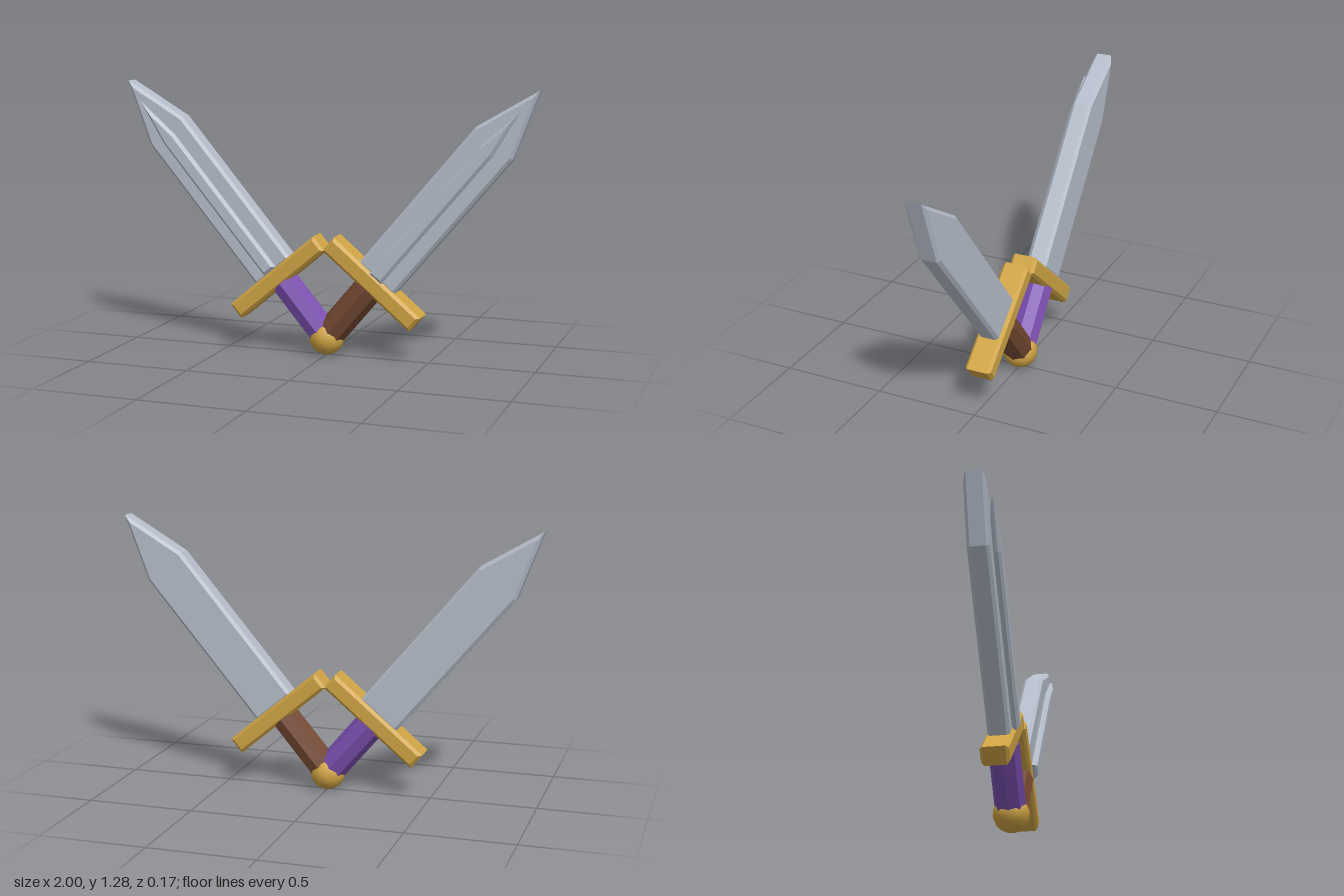
import * as THREE from 'three';
import { ConvexGeometry } from 'three/addons/geometries/ConvexGeometry.js';

const TILT = THREE.MathUtils.degToRad(40);
const PIVOT_Y = 0.085;

// Convex slab with chamfered rims: outline(inset) returns [x, y] pairs
function chamferedSlab(outline, z0, z1, chamfer) {
  const points = [];
  const ring = (inset, z) => outline(inset).forEach(([x, y]) => points.push(new THREE.Vector3(x, y, z)));
  ring(chamfer, z0);
  ring(0, z0 + chamfer);
  ring(0, z1 - chamfer);
  ring(chamfer, z1);
  return new ConvexGeometry(points);
}

// Pointed blade outline, inset evenly on every side
function bladeOutline(halfWidth, base, shoulder, tip) {
  const angle = Math.atan2(halfWidth, tip - shoulder);
  return (d) => {
    const w = halfWidth - d;
    const top = tip - d / Math.sin(angle);
    const side = top - w / Math.tan(angle);
    return [[-w, base + d], [w, base + d], [w, side], [0, top], [-w, side]];
  };
}

// Rectangular outline centred on x = 0
function barOutline(halfLength, y0, y1) {
  return (d) => [
    [-halfLength + d, y0 + d], [halfLength - d, y0 + d],
    [halfLength - d, y1 - d], [-halfLength + d, y1 - d],
  ];
}

// Faceted grip: octagonal prism with flat normals
function gripGeometry() {
  const geometry = new THREE.CylinderGeometry(0.072, 0.072, 0.33, 8).toNonIndexed();
  geometry.translate(0, 0.165, 0);
  geometry.computeVertexNormals();
  return geometry;
}

export function createModel() {
  const material = (name, color) => {
    const m = new THREE.MeshStandardMaterial({ color });
    m.name = name;
    return m;
  };
  const steel = material('steel', 0xb6becb);
  const gold = material('gold', 0xd0a444);
  const purple = material('purple grip', 0x7b4fb0);
  const brown = material('brown grip', 0x734832);

  const geometries = {
    blade: chamferedSlab(bladeOutline(0.11, 0.395, 1.243, 1.554), -0.05, 0.05, 0.014),
    ridge: chamferedSlab(bladeOutline(0.036, 0.405, 1.2, 1.424), 0.049, 0.085, 0.013),
    guard: chamferedSlab(barOutline(0.275, 0.32, 0.406), -0.064, 0.064, 0.014),
    grip: gripGeometry(),
    pommel: new THREE.SphereGeometry(0.085, 12, 8),
  };

  // One sword, built upright with its pommel at the origin
  function createSword(name, gripMaterial) {
    const sword = new THREE.Group();
    sword.name = name;
    const materials = { blade: steel, ridge: steel, guard: gold, grip: gripMaterial, pommel: gold };
    for (const part of Object.keys(geometries)) {
      const mesh = new THREE.Mesh(geometries[part], materials[part]);
      mesh.name = part;
      sword.add(mesh);
    }
    sword.position.y = PIVOT_Y;
    return sword;
  }

  // Two swords fanned out from a shared pommel
  const model = new THREE.Group();
  model.name = 'pairedSwords';
  const leftSword = createSword('leftSword', brown);
  leftSword.rotation.z = -TILT;
  const rightSword = createSword('rightSword', purple);
  rightSword.rotation.z = TILT;
  model.add(leftSword, rightSword);
  return model;
}
